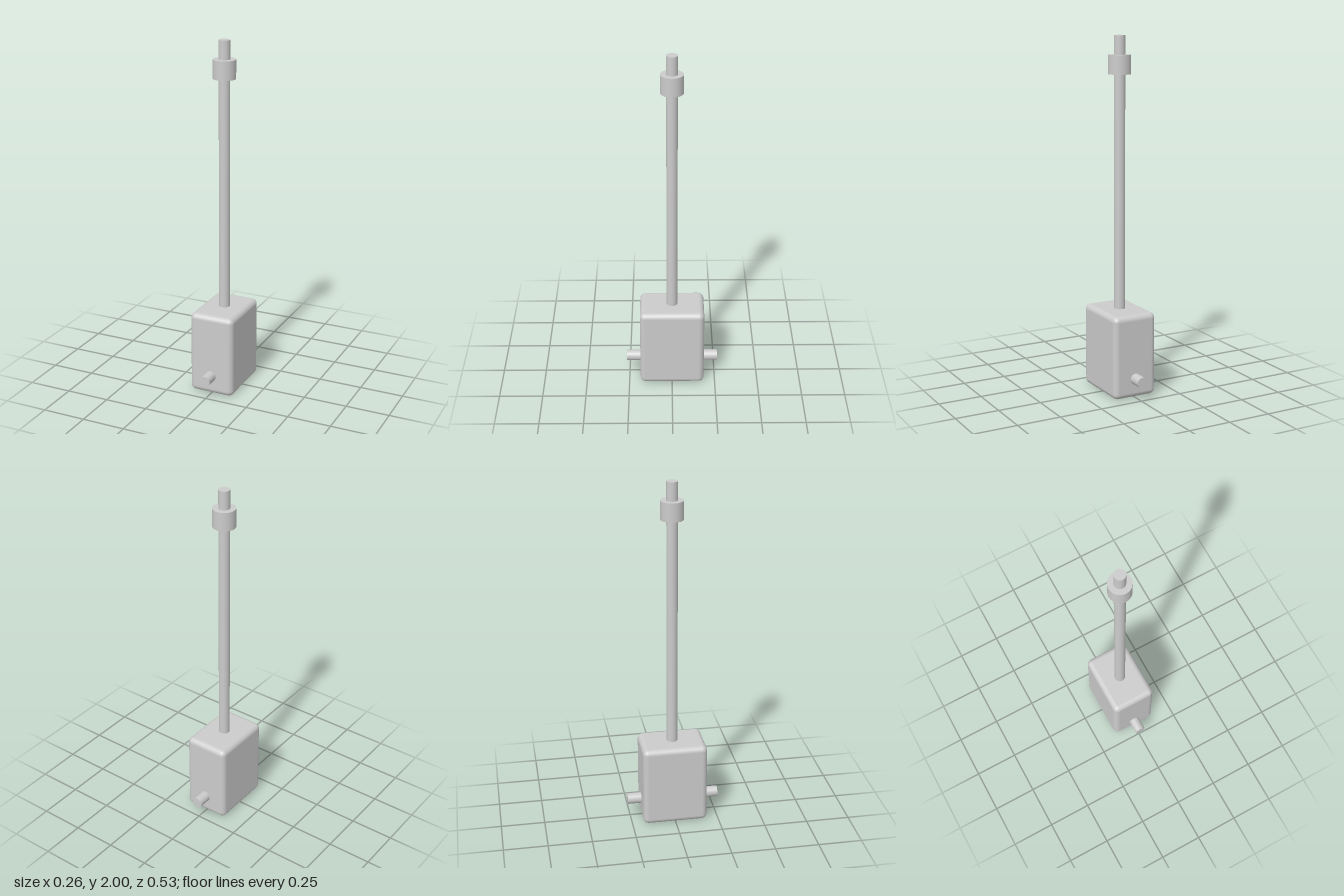
import * as THREE from 'three';
import { RoundedBoxGeometry } from 'three/addons/geometries/RoundedBoxGeometry.js';

export function createModel() {
  const model = new THREE.Group();
  const material = new THREE.MeshStandardMaterial({ color: 0xcccccc });

  function add(name, geometry, y, z = 0) {
    const mesh = new THREE.Mesh(geometry, material);
    mesh.name = name;
    mesh.position.set(0, y, z);
    model.add(mesh);
    return mesh;
  }
  const cylinder = (radius, length) => new THREE.CylinderGeometry(radius, radius, length, 48);

  // Rounded block at the foot
  const blockHeight = 0.475;
  const blockDepth = 0.37;
  add('block', new RoundedBoxGeometry(0.262, blockHeight, blockDepth, 6, 0.031), blockHeight / 2);

  // Long rod standing on the block
  const rodRadius = 0.031;
  const rodLength = 2 - blockHeight;
  add('rod', cylinder(rodRadius, rodLength), blockHeight + rodLength / 2);

  // Collar near the tip of the rod
  add('collar', cylinder(0.063, 0.105), 1.843);

  // Short pins on the front and back of the block
  const pinLength = 0.08;
  for (const [name, side] of [['frontPin', 1], ['backPin', -1]]) {
    const pin = add(name, cylinder(rodRadius, pinLength), 0.11, side * (blockDepth + pinLength) / 2);
    pin.rotation.x = side * Math.PI / 2;
  }

  return model;
}
